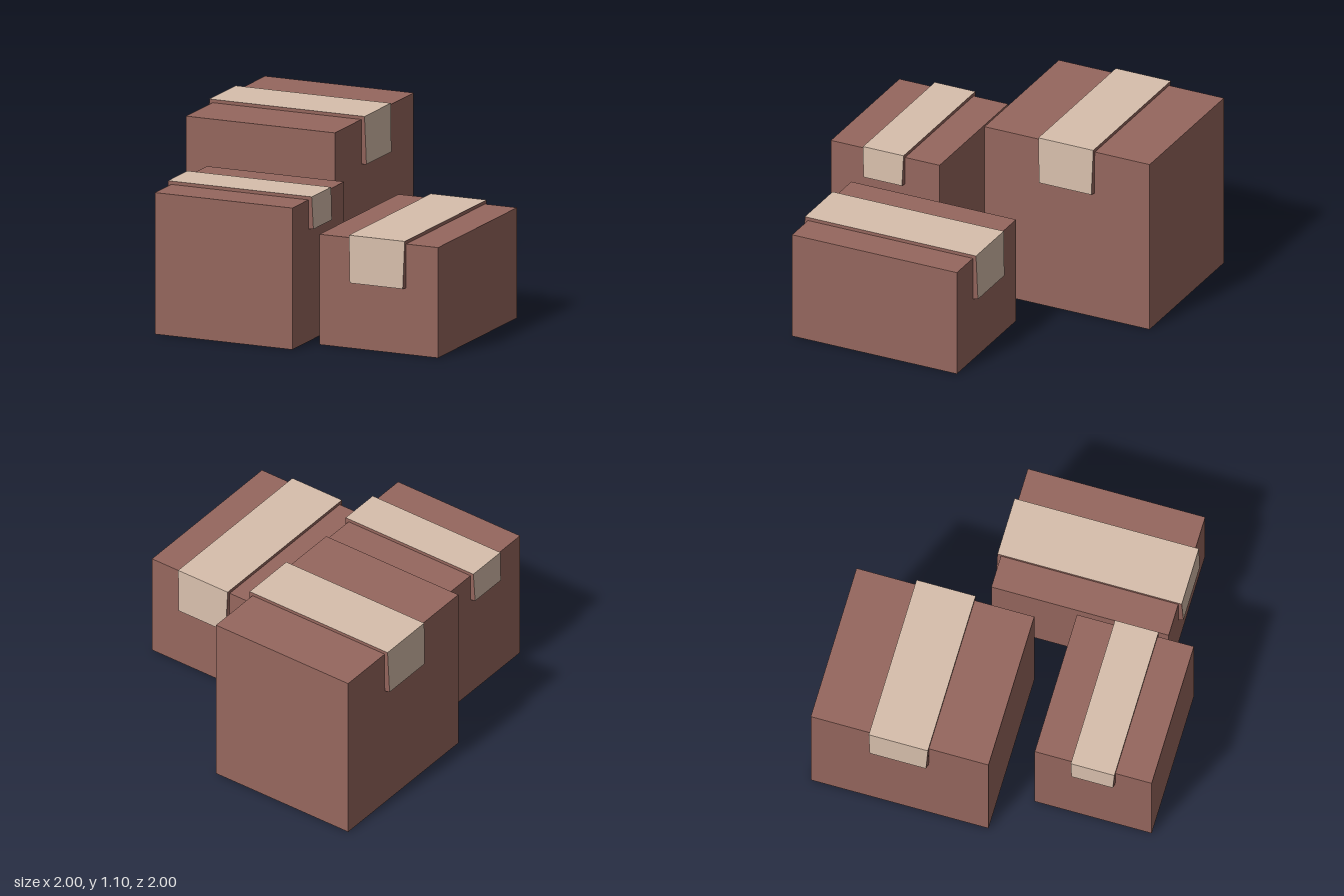
import * as THREE from 'three';

const brown = new THREE.MeshStandardMaterial({ color: 0x96675e });
brown.name = 'cardboardBrown';
const tan = new THREE.MeshStandardMaterial({ color: 0xd8bfac });
tan.name = 'tapeTan';

// U-shaped strip of tape over a box: tan outer faces, brown edges, legs flaring slightly
function tapeGeometry(length, height, width, drop) {
  const rise = 0.02, out = 0.021, flare = 0.008, inset = 0.005;
  const h = length / 2, top = height + rise, low = top - drop;
  const half = [
    [h + out + flare, low], [h + out, top],   // outer side
    [h - inset, height - inset], [h - inset, low], // inner side, tucked into the box
  ];
  const mirror = ([x, y]) => [-x, y];
  const outline = [half[0], half[1], mirror(half[1]), mirror(half[0]),
    mirror(half[3]), mirror(half[2]), half[2], half[3]];
  const shape = new THREE.Shape(outline.map(([x, y]) => new THREE.Vector2(x, y)));
  const geo = new THREE.ExtrudeGeometry(shape, { depth: width, bevelEnabled: false });
  geo.translate(0, 0, -width / 2);

  // narrow the outer face a little at the loose ends
  const p = geo.attributes.position;
  for (let i = 0; i < p.count; i++) {
    if (Math.abs(p.getX(i)) > h + out + flare / 2) p.setZ(i, p.getZ(i) * 0.95);
  }
  geo.computeVertexNormals();

  // the first three walls are the outer faces: tan; everything else is brown
  const start = geo.groups[1].start;
  geo.clearGroups();
  geo.addGroup(0, start, 0);
  geo.addGroup(start, 18, 1);
  geo.addGroup(start + 18, p.count - start - 18, 0);
  return geo;
}

// One parcel; its length is the direction the tape runs in
function parcel({ name, at, length, height, depth, tapeOffset, tapeWidth, drop, turn = 0 }) {
  const group = new THREE.Group();
  group.name = name;
  const box = new THREE.Mesh(new THREE.BoxGeometry(length, height, depth), brown);
  box.name = 'box';
  box.position.y = height / 2;
  const tape = new THREE.Mesh(tapeGeometry(length, height, tapeWidth, drop), [brown, tan]);
  tape.name = 'tape';
  tape.position.z = tapeOffset;
  group.add(box, tape);
  group.position.set(at[0], 0, at[1]);
  group.rotation.y = turn;
  return group;
}

export function createModel() {
  const model = new THREE.Group();
  model.name = 'parcels';
  model.add(
    parcel({ name: 'tallParcel', at: [-0.493, -0.46], length: 0.956, height: 1.076, depth: 1.076,
      tapeOffset: -0.002, tapeWidth: 0.358, drop: 0.288 }),
    parcel({ name: 'mediumParcel', at: [-0.295, 0.644], length: 0.882, height: 0.848, depth: 0.708,
      tapeOffset: 0.002, tapeWidth: 0.264, drop: 0.194 }),
    parcel({ name: 'lowParcel', at: [0.618, 0.282], length: 1.074, height: 0.661, depth: 0.762,
      tapeOffset: -0.003, tapeWidth: 0.358, drop: 0.284, turn: Math.PI / 2 }),
  );
  return model;
}
